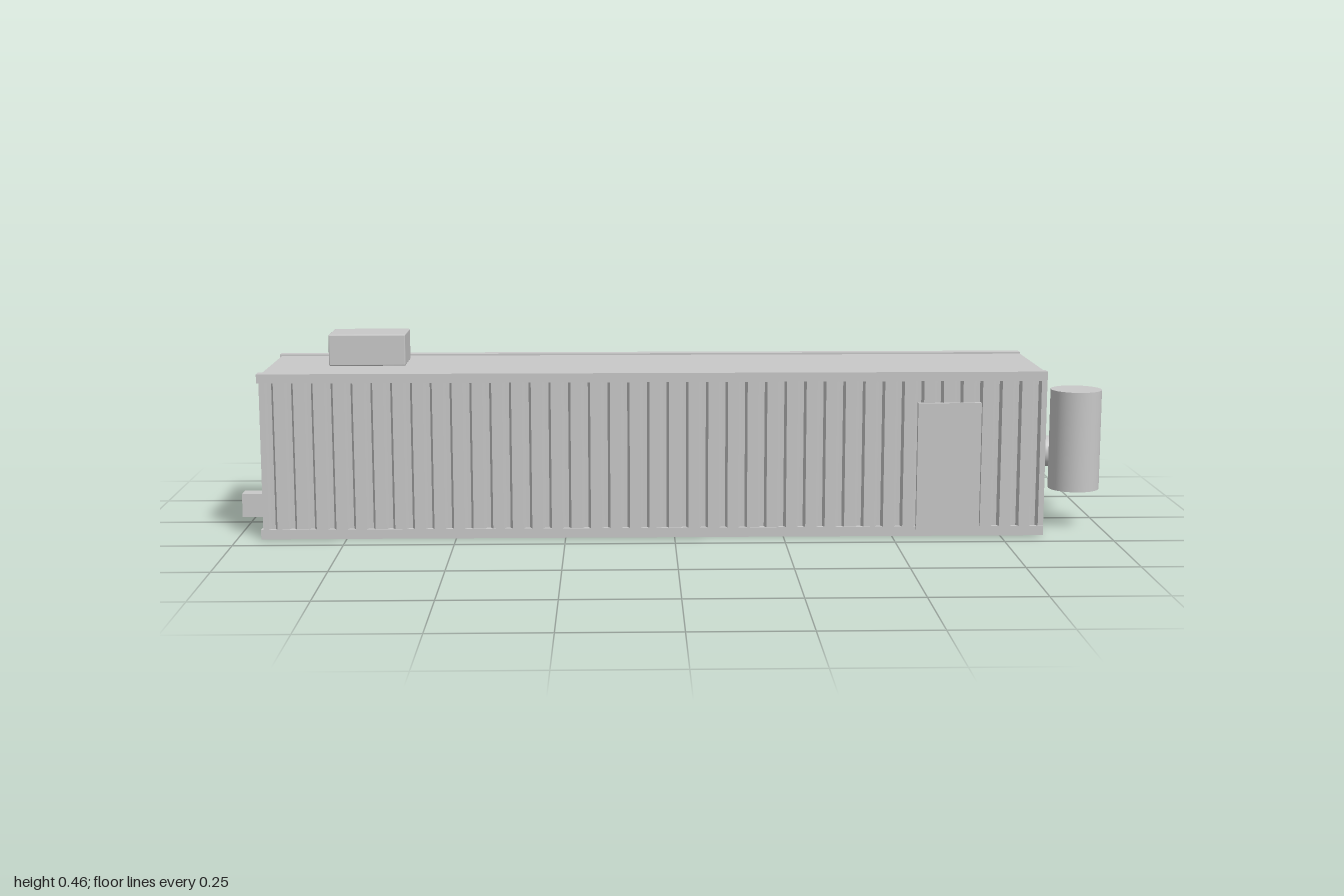
import * as THREE from 'three';
import { RoundedBoxGeometry } from 'three/addons/geometries/RoundedBoxGeometry.js';

export function createModel() {
  const group = new THREE.Group();
  const grey = new THREE.MeshStandardMaterial({ color: 0xc8c8c8 });
  grey.name = 'lightGrey';

  const add = (name, geometry, x = 0, y = 0, z = 0) => {
    const mesh = new THREE.Mesh(geometry, grey);
    mesh.name = name;
    mesh.position.set(x, y, z);
    group.add(mesh);
    return mesh;
  };
  // Box given by its limits on each axis
  const box = (name, x0, x1, y0, y1, z0, z1) =>
    add(name, new THREE.BoxGeometry(x1 - x0, y1 - y0, z1 - z0),
      (x0 + x1) / 2, (y0 + y1) / 2, (z0 + z1) / 2);

  const left = 0.85, right = -0.94, front = 0.187, back = -0.175;

  // Corrugated walls: a footprint with trapezoid grooves on both long sides
  const grooves = 40, depth = 0.01, wall = 0.0015;
  const pitch = (left - right) / grooves;
  const profile = [[0.28, 0], [0.4, depth], [0.6, depth], [0.72, 0]];
  const points = [new THREE.Vector2(right, -front + wall)];
  for (let i = 0; i < grooves; i++)
    for (const [t, d] of profile)
      points.push(new THREE.Vector2(right + (i + t) * pitch, -front + wall + d));
  points.push(new THREE.Vector2(left, -front + wall), new THREE.Vector2(left, -back - wall));
  for (let i = grooves - 1; i >= 0; i--)
    for (const [t, d] of [...profile].reverse())
      points.push(new THREE.Vector2(right + (i + t) * pitch, -back - wall - d));
  points.push(new THREE.Vector2(right, -back - wall));
  const walls = new THREE.ExtrudeGeometry(new THREE.Shape(points), { depth: 0.338, bevelEnabled: false });
  walls.rotateX(-Math.PI / 2);
  add('corrugatedWalls', walls, 0, 0.022, 0);

  // Floor, roof and the long edge rails
  box('floor', right, left, 0.007, 0.022, back + 0.028, front - 0.028);
  box('roof', right, left, 0.36, 0.377, back + 0.028, front - 0.028);
  for (const [y0, y1, level] of [[0, 0.022, 'bottom'], [0.36, 0.381, 'top']]) {
    box(level + 'FrontRail', right - 0.005, left, y0, y1, front - 0.028, front);
    box(level + 'BackRail', right - 0.005, left, y0, y1, back, back + 0.028);
  }

  // Door on the front wall
  box('door', 0.555, 0.7, 0.016, 0.31, 0.18, 0.193);

  // Louvred vents on the back wall
  for (let i = 0; i < 4; i++) {
    const x = -0.636 + i * 0.383;
    box('ventPanel', x - 0.098, x + 0.098, 0.171, 0.303, -0.182, -0.17);
    for (let j = 0; j < 6; j++) {
      const slat = add('ventSlat', new THREE.BoxGeometry(0.19, 0.003, 0.013), x, 0.179 + j * 0.0222, -0.185);
      slat.rotation.x = 0.6;
    }
  }

  // Roof unit and small box on the right end
  add('roofUnit', new RoundedBoxGeometry(0.177, 0.073, 0.116, 2, 0.003), -0.709, 0.4185, 0.006);
  box('endBox', -1, right, 0.036, 0.09, 0.067, 0.11);

  // Upright tank and exhaust pipe at the left end
  add('tank', new THREE.CylinderGeometry(0.059, 0.059, 0.234, 32), 0.94, 0.207, 0.08);
  const pipe = new THREE.CylinderGeometry(0.037, 0.037, 0.155, 32);
  pipe.rotateZ(Math.PI / 2);
  add('exhaustPipe', pipe, 0.9215, 0.148, -0.082);

  return group;
}
